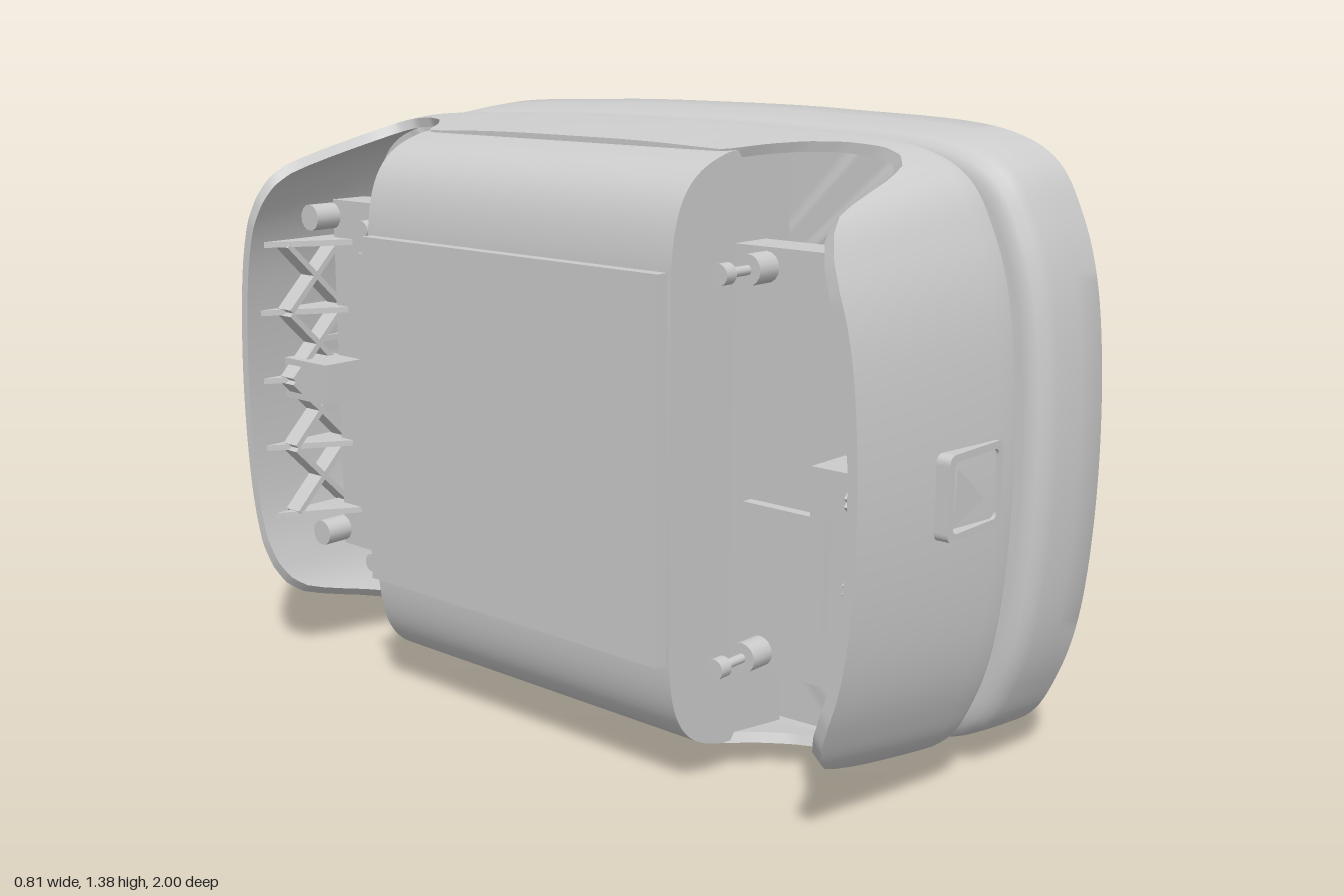
import * as THREE from 'three';
import { toCreasedNormals } from 'three/addons/utils/BufferGeometryUtils.js';

const CY = 0.69;
const mat = new THREE.MeshStandardMaterial({ color: 0xcccccc, side: THREE.DoubleSide });

// Unit outline of the housing as seen from +x (horizontal is -z, vertical is y)
const quarter = [[1, 0], [0.975, 0.35], [0.93, 0.5], [0.87, 0.6], [0.76, 0.655], [0.35, 0.685], [0, 0.69]];
const q2 = quarter.slice(0, -1).reverse().map(([a, b]) => [-a, b]);
const upper = [...quarter, ...q2];
const lower = upper.slice(1, -1).map(([a, b]) => [-a, -b]);
const outline = new THREE.CatmullRomCurve3(
  [...upper, ...lower].map(([a, b]) => new THREE.Vector3(a, b, 0)), true).getSpacedPoints(360);

const add = (parent, name, geo, x = 0, y = 0, z = 0) => {
  const m = new THREE.Mesh(geo, mat);
  m.name = name;
  m.position.set(x, y, z);
  parent.add(m);
  return m;
};
const box = (parent, name, w, h, d, x, y, z) => add(parent, name, new THREE.BoxGeometry(w, h, d), x, y, z);
const poly = (pts, C = THREE.Shape) => new C(pts.map(p => new THREE.Vector2(p[0], p[1])));

// Rounded rectangle from its limits
function rrect(x0, y0, x1, y1, r, C = THREE.Shape) {
  const s = new C();
  s.moveTo(x0 + r, y0);
  s.lineTo(x1 - r, y0); s.quadraticCurveTo(x1, y0, x1, y0 + r);
  s.lineTo(x1, y1 - r); s.quadraticCurveTo(x1, y1, x1 - r, y1);
  s.lineTo(x0 + r, y1); s.quadraticCurveTo(x0, y1, x0, y1 - r);
  s.lineTo(x0, y0 + r); s.quadraticCurveTo(x0, y0, x0 + r, y0);
  return s;
}

// Extrude a (-z, y) shape along x from x0 to x1
function slab(parent, name, shape, x0, x1) {
  const g = new THREE.ExtrudeGeometry(shape, { depth: x1 - x0, bevelEnabled: false, curveSegments: 8 });
  g.rotateY(Math.PI / 2);
  return add(parent, name, toCreasedNormals(g, 0.6), x0);
}

// Skin the outline through rings; ringsAt(z) gives [x, inset], inset >= 1 meaning the centre
function loft(rz, ry, cy, ringsAt) {
  const pos = [], idx = [];
  let n = 0;
  for (const p of outline) {
    const rings = ringsAt(Math.abs(p.x) * rz);
    n = rings.length;
    for (const [x, i] of rings) {
      const kz = i >= 1 ? 0 : rz - i, ky = i >= 1 ? 0 : ry - i;
      pos.push(x, cy + p.y / 0.69 * ky, -p.x * kz);
    }
  }
  for (let i = 0; i < outline.length - 1; i++) for (let j = 0; j < n - 1; j++) {
    const a = i * n + j, b = a + n;
    idx.push(a, a + 1, b, b, a + 1, b + 1);
  }
  const g = new THREE.BufferGeometry();
  g.setAttribute('position', new THREE.Float32BufferAttribute(pos, 3));
  g.setIndex(idx);
  return toCreasedNormals(g, 0.6);
}

// Rear edge of the shell against |z|: the deep scoops beside the centre cover
const edge = [[0, -0.2], [0.45, -0.2], [0.47, -0.17], [0.5, -0.12], [0.55, -0.07], [0.62, -0.035], [0.7, -0.02],
  [0.75, -0.035], [0.79, -0.08], [0.815, -0.16], [0.835, -0.25], [0.85, -0.32], [0.875, -0.365], [0.9, -0.39],
  [0.925, -0.4], [2, -0.4]];
function rearEdge(z) {
  const k = edge.findIndex((e, i) => z <= edge[i + 1][0]);
  const [a, b] = [edge[k], edge[k + 1]];
  return a[1] + (b[1] - a[1]) * (z - a[0]) / (b[0] - a[0]);
}
const shellInset = x => 0.005 + 0.06 * Math.pow((0.04 - x) / 0.44, 1.1);

function buildPlate(g) {
  add(g, 'plateRim', loft(1, 0.69, CY, () => [[0.365, 0.02], [0.36, 0.008], [0.345, 0], [0.27, 0.006],
    [0.19, 0.015], [0.165, 0.022], [0.15, 0.035], [0.142, 0.05], [0.14, 0.065], [0.14, 1]]));
  const face = poly(outline.slice(0, -1).map(p => [p.x * 0.98, CY + p.y / 0.69 * 0.67]));
  slab(g, 'plateFloor', face.clone(), 0.31, 0.325);
  const latch = [[0.6, 0.94], [0.73, 0.94], [0.75, 0.9], [0.75, 0.5], [0.72, 0.44], [0.63, 0.44], [0.61, 0.52],
    [0.54, 0.54], [0.51, 0.6], [0.51, 0.82], [0.58, 0.84]];
  const panelPts = e => [[-0.63 + e, 0.36], [-0.6, 0.33 + e], [0.37, 0.33 + e], [0.48 - e, 0.43], [0.48 - e, 1.02],
    [0.43, 1.07 - e], [-0.57, 1.07 - e], [-0.63 + e, 1.02]];
  face.holes.push(poly(panelPts(0), THREE.Path), poly(latch, THREE.Path));
  const pads = [[0.05, 0.26], [1.13, 1.34]];
  for (const [y0, y1] of pads) {
    face.holes.push(rrect(-0.285, y0 - 0.005, 0.285, y1 + 0.005, 0.03, THREE.Path));
    slab(g, 'facePad', rrect(-0.28, y0, 0.28, y1, 0.03), 0.32, 0.37);
    for (const a of [-0.345, 0.345]) // seams beside the pads
      face.holes.push(rrect(a - 0.003, y0 - 0.02, a + 0.003, y1, 0.001, THREE.Path));
  }
  slab(g, 'plateFace', face, 0.322, 0.365);

  // Central panel with its slots and dividing groove
  const panel = poly(panelPts(0.004));
  panel.holes.push(
    poly([[-0.615, 0.48], [-0.53, 0.48], [-0.53, 0.93], [-0.615, 0.93]], THREE.Path),
    poly([[-0.47, 0.53], [-0.38, 0.53], [-0.35, 0.7], [-0.35, 0.86], [-0.47, 0.86]], THREE.Path),
    poly([[0.34, 0.53], [0.465, 0.53], [0.465, 0.85], [0.39, 0.85], [0.375, 0.7]], THREE.Path),
    poly([[-0.33, 0.696], [0.33, 0.696], [0.33, 0.704], [-0.33, 0.704]], THREE.Path));
  slab(g, 'centrePanel', panel, 0.322, 0.361);
  slab(g, 'slotInsert', poly([[0.345, 0.535], [0.46, 0.535], [0.46, 0.845], [0.395, 0.845], [0.38, 0.7]]), 0.32, 0.35);
  for (const y of [0.54, 0.63, 0.78]) box(g, 'slotContact', 0.025, 0.05, 0.05, 0.337, y, 0.59);
  for (const y of [0.6, 0.72, 0.8]) box(g, 'slotTooth', 0.025, 0.02, 0.05, 0.337, y, 0.41);

  // Latch and round knob
  slab(g, 'latchBed', poly(latch), 0.32, 0.348);
  slab(g, 'latchBlock', rrect(0.55, 0.58, 0.71, 0.8, 0.01), 0.33, 0.362);
  const knob = add(g, 'knob', new THREE.CylinderGeometry(0.04, 0.045, 0.06, 24), 0.372, 1.03, -0.68);
  knob.rotation.z = -Math.PI / 2;
}

// Everything at one end of the shell, in coordinates centred on y
function buildEnd() {
  const g = new THREE.Group();
  g.name = 'endFittings';
  box(g, 'bayFloor', 0.1, 0.88, 0.37, -0.13, 0, 0.63);
  box(g, 'endShelf', 0.12, 0.1, 0.16, -0.23, 0, 0.81);
  box(g, 'bayBlock', 0.04, 0.24, 0.2, -0.185, -0.2, 0.6);
  // Triangular fins and crossing ribs inside the end wall
  const fin = poly([[-0.36, 0.885], [-0.18, 0.77], [-0.1, 0.88], [-0.18, 0.885]]);
  for (const y of [-0.34, -0.17, 0, 0.17, 0.34]) {
    const f = new THREE.ExtrudeGeometry(fin, { depth: 0.014, bevelEnabled: false });
    f.rotateX(Math.PI / 2);
    add(g, 'fin', f, 0, y + 0.007, Math.abs(y) > 0.3 ? -0.025 : 0);
  }
  for (const y of [-0.255, -0.085, 0.085, 0.255]) for (const s of [-1, 1]) {
    const rib = box(g, 'crossRib', 0.014, 0.23, 0.05, -0.23, y, 0.85);
    rib.rotation.z = s * 0.78;
  }
  // Mounting posts and screws
  for (const y of [-0.4, 0.4]) {
    const post = (name, r, x0, x1, z) => {
      const c = add(g, name, new THREE.CylinderGeometry(r, r, x1 - x0, 16), (x0 + x1) / 2, y, z);
      c.rotation.z = Math.PI / 2;
    };
    post('outerPost', 0.032, -0.25, -0.1, 0.82);
    post('innerPost', 0.032, -0.24, -0.1, 0.53);
    post('screwShaft', 0.01, -0.31, -0.2, 0.53);
    post('screwHead', 0.022, -0.33, -0.3, 0.53);
  }
  // Framed window on the outside of the end
  const frame = rrect(-0.19, -0.08, 0, 0.09, 0.02);
  frame.holes.push(rrect(-0.172, -0.065, -0.015, 0.075, 0.015, THREE.Path));
  const fg = new THREE.ExtrudeGeometry(frame, { depth: 0.05, bevelEnabled: false });
  add(g, 'windowFrame', fg, 0, 0, 0.923);
  const lever = poly([[-0.16, -0.055], [-0.05, -0.02], [-0.15, 0.06]]);
  add(g, 'windowLever', new THREE.ExtrudeGeometry(lever, { depth: 0.05, bevelEnabled: false }), 0, 0, 0.915);
  g.position.y = 0.695;
  return g;
}

export function createModel() {
  const g = new THREE.Group();
  g.name = 'housing';
  buildPlate(g);

  // Neck joining plate and shell
  slab(g, 'neck', rrect(-0.7, 0.25, 0.7, 1.13, 0.12), 0.03, 0.16);

  // Scooped rear shell: outer wall, rim, inner wall and floor in one skin
  const steps = [0, 0.1, 0.22, 0.36, 0.5, 0.64, 0.78, 0.9, 1];
  add(g, 'rearShell', loft(0.978, 0.67, 0.695, z => {
    const e = rearEdge(z);
    const wall = (t, d) => { const x = 0.03 + (e - 0.03) * t; return [x, shellInset(x) + d]; };
    return [[0.06, 1], [0.06, 0.035], [0.055, 0.018], [0.045, 0.006], ...steps.map(t => wall(t, 0)),
      ...[1, 0.7, 0.4, 0.15].map(t => wall(t, 0.022)), [0.02, 0.03], [0.02, 1]];
  }));

  // Centre cover, rounded towards the rear and flush with the shell, with its box
  const c = new THREE.Shape();
  c.moveTo(0, 1.335);
  c.lineTo(-0.2, 1.317);
  c.bezierCurveTo(-0.31, 1.29, -0.365, 1.25, -0.375, 1.1);
  c.lineTo(-0.375, 0.29);
  c.bezierCurveTo(-0.365, 0.14, -0.31, 0.1, -0.2, 0.073);
  c.lineTo(0, 0.055);
  const cover = new THREE.ExtrudeGeometry(c, { depth: 0.9, bevelEnabled: false, curveSegments: 16 });
  add(g, 'centreCover', toCreasedNormals(cover, 0.5), 0, 0, -0.45);
  box(g, 'centreBox', 0.2, 0.8, 0.88, -0.303, 0.695, 0);

  // Both ends, the second turned half round about x
  const front = buildEnd(), back = buildEnd();
  back.rotation.x = Math.PI;
  g.add(front, back);
  return g;
}
